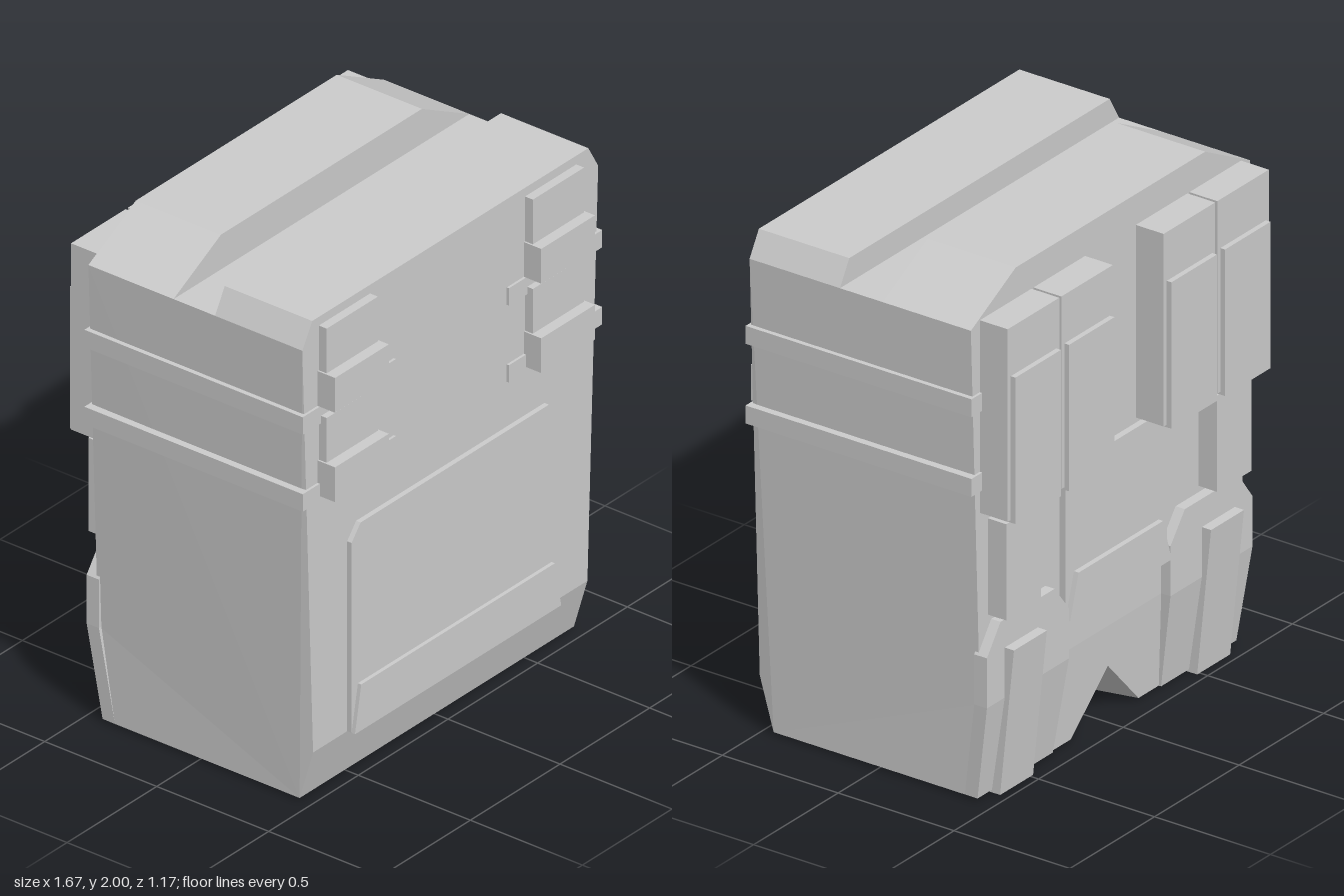
import * as THREE from 'three';

const material = new THREE.MeshStandardMaterial({ color: 0xcccccc, flatShading: true });

export function createModel() {
  const group = new THREE.Group();

  function add(name, geometry) {
    geometry.computeVertexNormals();
    const mesh = new THREE.Mesh(geometry, material);
    mesh.name = name;
    group.add(mesh);
  }

  // Box given by its limits; x limits are mirrored when side is -1
  function box(name, side, [x0, x1], [y0, y1], [z0, z1], rule) {
    const g = new THREE.BoxGeometry(x1 - x0, y1 - y0, z1 - z0);
    g.translate(side * (x0 + x1) / 2, (y0 + y1) / 2, (z0 + z1) / 2);
    if (rule) shiftZ(g, rule);
    add(name, g);
  }

  // Flat outline in x and y, extruded between two z values
  function plate(name, points, z0, z1, rule) {
    const shape = new THREE.Shape(points.map(([x, y]) => new THREE.Vector2(x, y)));
    const g = new THREE.ExtrudeGeometry(shape, { depth: z1 - z0, bevelEnabled: false });
    g.translate(0, 0, z0);
    if (rule) shiftZ(g, rule);
    add(name, g);
  }

  function shiftZ(g, rule) {
    const p = g.attributes.position;
    for (let i = 0; i < p.count; i++) p.setZ(i, p.getZ(i) + rule(p.getY(i)));
  }

  // Symmetric outline from its right half, listed bottom to top
  const mirrored = (half) => [...half, ...half.map(([x, y]) => [-x, y]).reverse()];

  add('body', bodyGeometry());

  // Two raised ridges on the top, with a valley between them
  plate('frontTopRidge', mirrored([[0.825, 1.86], [0.77, 1.955]]), 0.12, 0.51);
  plate('backTopRidge', mirrored([[0.825, 1.86], [0.56, 2]]), -0.445, -0.065);

  // Front pocket with its lower lip
  plate('frontPocket', mirrored([[0.575, 0.215], [0.575, 0.98], [0.525, 1.04]]), 0.5, 0.53);
  plate('frontPocketLip', mirrored([[0.575, 0.215], [0.54, 0.4]]), 0.52, 0.545);

  // Back panel with its lower lip
  plate('backPanel', mirrored([[0.3, 0.53], [0.3, 1.05], [0.25, 1.11]]), -0.47, -0.44);
  plate('backPanelLip', mirrored([[0.3, 0.53], [0.25, 0.7]]), -0.49, -0.46);

  for (const side of [1, -1]) {
    // Straps round the sides
    for (const y of [1.22, 1.53]) {
      box('sideStrap', side, [0.315, 0.835], [y, y + 0.07], [-0.455, 0.52]);
    }

    // Front buckles
    const centre = side > 0 ? 0.56 : 0.59;
    for (const y of [1.24, 1.6]) {
      box('bucklePlate', side, [centre - 0.143, centre + 0.143], [y, y + 0.32], [0.5, 0.545]);
      box('buckleFlap', side, [centre - 0.15, centre + 0.15], [y, y + 0.14], [0.51, 0.588]);
    }

    // Tall pouches on the upper back
    for (const x of [0.15, 0.467]) {
      box('upperPouch', side, [x, x + 0.305], [1.13, 1.88], [-0.565, -0.44]);
      box('upperPouchFlap', side, [x + 0.018, x + 0.287], [1.12, 1.69], [-0.585, -0.5]);
    }

    // Small pouch below them
    box('smallPouch', side, [0.52, 0.725], [0.715, 1.09], [-0.525, -0.44]);

    // Lower pad: upright with cut corners, then sloping in to the base
    const upper = [[0.3, 0.385], [0.785, 0.385], [0.785, 0.58], [0.705, 0.69], [0.385, 0.69], [0.3, 0.58]];
    const lower = [[0.32, 0.01], [0.765, 0.01], [0.785, 0.385], [0.3, 0.385]];
    const flip = (points) => points.map(([x, y]) => [side * x, y]);
    plate('lowerPadTop', flip(upper), -0.485, -0.43);
    plate('lowerPadBase', flip(lower), -0.485, -0.43, (y) => (0.385 - y) * 0.147);
    box('lowerPadStrap', side, [0.485, 0.68], [0, 0.58], [-0.525, -0.4], (y) => (0.58 - y) * 0.103);
  }
  return group;
}

// Body from side profiles set along x, with a pointed notch under the back
function bodyGeometry() {
  const width = (y) => 0.765 + 0.06 * Math.max(0, (y - 0.215) / 1.645);
  const profile = [[0.01, 0.45], [0.215, 0.51], [1.86, 0.51], [1.86, -0.445], [0.385, -0.445], [0.01, -0.42]];
  const n = profile.length;
  const stations = [-1, -0.2, 0, 0.2, 1];
  const positions = [];
  const index = [];

  for (const s of stations) {
    profile.forEach(([y, z], j) => {
      const x = Math.abs(s) === 1 ? s * width(y) : s;
      if (s === 0 && j === n - 1) positions.push(0, 0.22, -0.434);
      else positions.push(x, y, z);
    });
  }
  for (let i = 0; i < stations.length - 1; i++) {
    for (let j = 0; j < n; j++) {
      const k = (j + 1) % n;
      const a0 = i * n + j, a1 = i * n + k, b0 = a0 + n, b1 = a1 + n;
      if (stations[i] >= 0) index.push(a0, b0, a1, b0, b1, a1);
      else index.push(a0, b0, b1, a0, b1, a1);
    }
  }
  // End walls
  const last = (stations.length - 1) * n;
  for (let j = 1; j < n - 1; j++) {
    index.push(0, j, j + 1, last, last + j + 1, last + j);
  }
  const g = new THREE.BufferGeometry();
  g.setAttribute('position', new THREE.Float32BufferAttribute(positions, 3));
  g.setIndex(index);
  return g.toNonIndexed();
}
